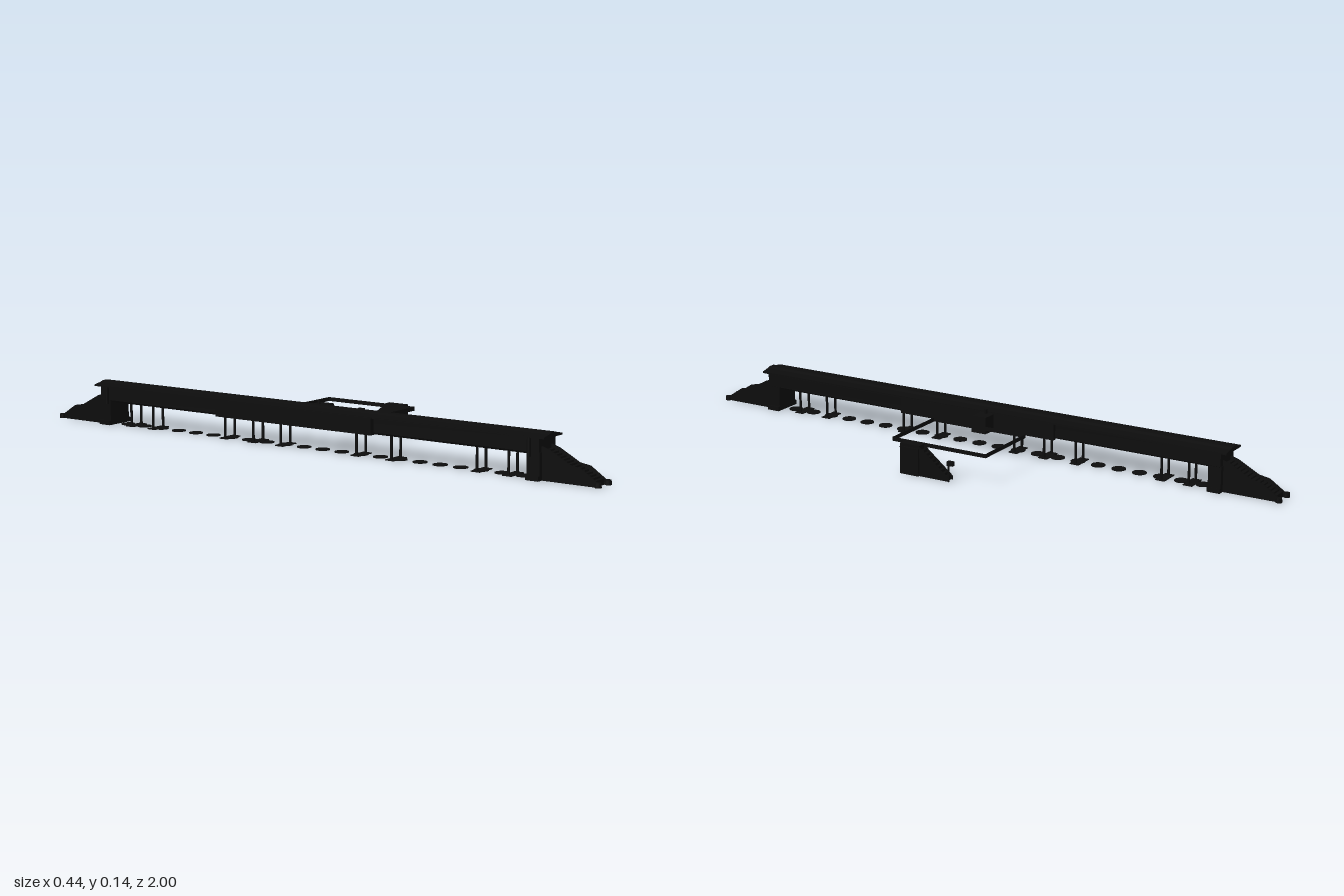
import * as THREE from 'three';

export function createModel() {
  const model = new THREE.Group();
  const black = new THREE.MeshStandardMaterial({ color: 0x0c0c0c, side: THREE.DoubleSide });
  black.name = 'near black';

  const add = (name, geometry, parent = model) => {
    const mesh = new THREE.Mesh(geometry, black);
    mesh.name = name;
    parent.add(mesh);
    return mesh;
  };
  // box given by its limits on each axis
  const box = (name, x0, x1, y0, y1, z0, z1, parent) =>
    add(name, new THREE.BoxGeometry(x1 - x0, y1 - y0, z1 - z0)
      .translate((x0 + x1) / 2, (y0 + y1) / 2, (z0 + z1) / 2), parent);
  const toShape = pts => new THREE.Shape(pts.map(p => new THREE.Vector2(...p)));
  // (x, y) section drawn out along z
  const alongZ = (name, pts, z0, z1, parent) =>
    add(name, new THREE.ExtrudeGeometry(toShape(pts), { depth: z1 - z0, bevelEnabled: false })
      .translate(0, 0, z0), parent);
  // (z, y) section drawn out along x
  const alongX = (name, pts, x0, x1, parent) =>
    add(name, new THREE.ExtrudeGeometry(toShape(pts), { depth: x1 - x0, bevelEnabled: false })
      .rotateY(-Math.PI / 2).translate(x1, 0, 0), parent);
  // stepped flight falling from (z0, y0) to (z1, y1), solid to the ground
  const flight = (z0, y0, z1, y1, n) => {
    const pts = [[z0, 0], [z0, y0]];
    for (let i = 0; i < n; i++) {
      const z = z0 + (z1 - z0) * (i + 1) / n;
      pts.push([z, y0 + (y1 - y0) * i / n], [z, y0 + (y1 - y0) * (i + 1) / n]);
    }
    pts.push([z1, 0]);
    return pts;
  };

  // elevated hall and its shallow arched roof
  alongZ('hall', [[-0.195, 0.073], [-0.128, 0.073], [-0.117, 0.08],
    [-0.117, 0.122], [-0.205, 0.122], [-0.205, 0.08]], -0.81, 0.81);
  alongZ('roof', [[-0.212, 0.121], [-0.112, 0.121], [-0.112, 0.126], [-0.14, 0.131],
    [-0.152, 0.135], [-0.172, 0.135], [-0.184, 0.131], [-0.212, 0.126]], -0.83, 0.83);
  box('leftAwning', -0.12, -0.106, 0.073, 0.123, -0.26, 0.29);
  box('rightAwning', -0.22, -0.2, 0.073, 0.123, -0.33, 0.25);

  // slender columns with footings
  const columns = new THREE.Group();
  columns.name = 'columns';
  model.add(columns);
  for (const z of [0.7, 0.595, 0.3, 0.175, -0.105, -0.21, -0.32, -0.61, -0.7]) {
    for (const x of [-0.185, -0.138]) {
      add('column', new THREE.CylinderGeometry(0.004, 0.004, 0.08, 10).translate(x, 0.04, z), columns);
    }
    box('footing', -0.195, -0.128, 0, 0.003, z - 0.015, z + 0.015, columns);
  }

  // row of flat ground discs under the hall
  const discs = new THREE.Group();
  discs.name = 'groundDiscs';
  model.add(discs);
  for (let i = 0; i < 22; i++) {
    add('groundDisc', new THREE.CylinderGeometry(0.022, 0.022, 0.003, 16)
      .translate(-0.162, 0.0015, -0.735 + i * 0.07), discs);
  }

  // end houses with stairs falling outwards, same at both ends
  for (const s of [1, -1]) {
    const end = new THREE.Group();
    end.name = s > 0 ? 'frontEntrance' : 'backEntrance';
    model.add(end);
    const [a, b] = [Math.min(s * 0.77, s * 0.812), Math.max(s * 0.77, s * 0.812)];
    box('endHouse', -0.205, -0.119, 0, 0.08, a, b, end);
    box('plinth', -0.211, -0.112, 0, 0.014, a, b, end);
    alongX('stairs', flight(s * 0.81, 0.085, s * 0.98, 0.012, 14), -0.185, -0.139, end);
    for (const x of [-0.191, -0.139]) {
      alongX('parapet', [[s * 0.81, 0], [s * 0.81, 0.096], [s * 0.835, 0.088], [s * 0.9, 0.053],
        [s * 0.935, 0.047], [s * 0.985, 0.014], [s * 0.985, 0]], x, x + 0.006, end);
    }
    for (const x of [-0.19, -0.134]) {
      add('newel', new THREE.CylinderGeometry(0.009, 0.01, 0.014, 12).translate(x, 0.007, s * 0.99), end);
    }
    add('downpipe', new THREE.CylinderGeometry(0.006, 0.006, 0.055, 10)
      .translate(-0.21, 0.095, s * 0.78), end);
  }

  // side annex with a vent
  box('annex', -0.118, -0.057, 0.071, 0.123, -0.05, 0);
  add('vent', new THREE.CylinderGeometry(0.005, 0.005, 0.018, 12).translate(-0.1, 0.128, -0.025));

  // raised square band beside the annex
  const band = new THREE.Group();
  band.name = 'band';
  model.add(band);
  for (const z of [-0.19, 0.135]) box('bandSide', -0.057, 0.175, 0.083, 0.095, z - 0.001, z + 0.001, band);
  for (const x of [-0.057, 0.175]) box('bandEnd', x - 0.001, x + 0.001, 0.083, 0.095, -0.19, 0.135, band);

  // detached stair house
  const house = new THREE.Group();
  house.name = 'stairHouse';
  model.add(house);
  box('landing', 0.178, 0.208, 0, 0.094, 0.02, 0.088, house);
  alongX('steps', flight(0.02, 0.08, -0.075, 0.005, 9), 0.18, 0.206, house);
  for (const x of [0.178, 0.204]) {
    alongX('sideWall', [[0.02, 0], [0.02, 0.09], [-0.08, 0.01], [-0.08, 0]], x, x + 0.004, house);
  }
  box('sidePanel', 0.207, 0.214, 0, 0.085, 0.02, 0.085, house);
  add('post', new THREE.CylinderGeometry(0.003, 0.003, 0.065, 8).translate(0.208, 0.0325, -0.083), house);
  box('sign', 0.202, 0.215, 0.052, 0.065, -0.1, -0.08, house);

  return model;
}
